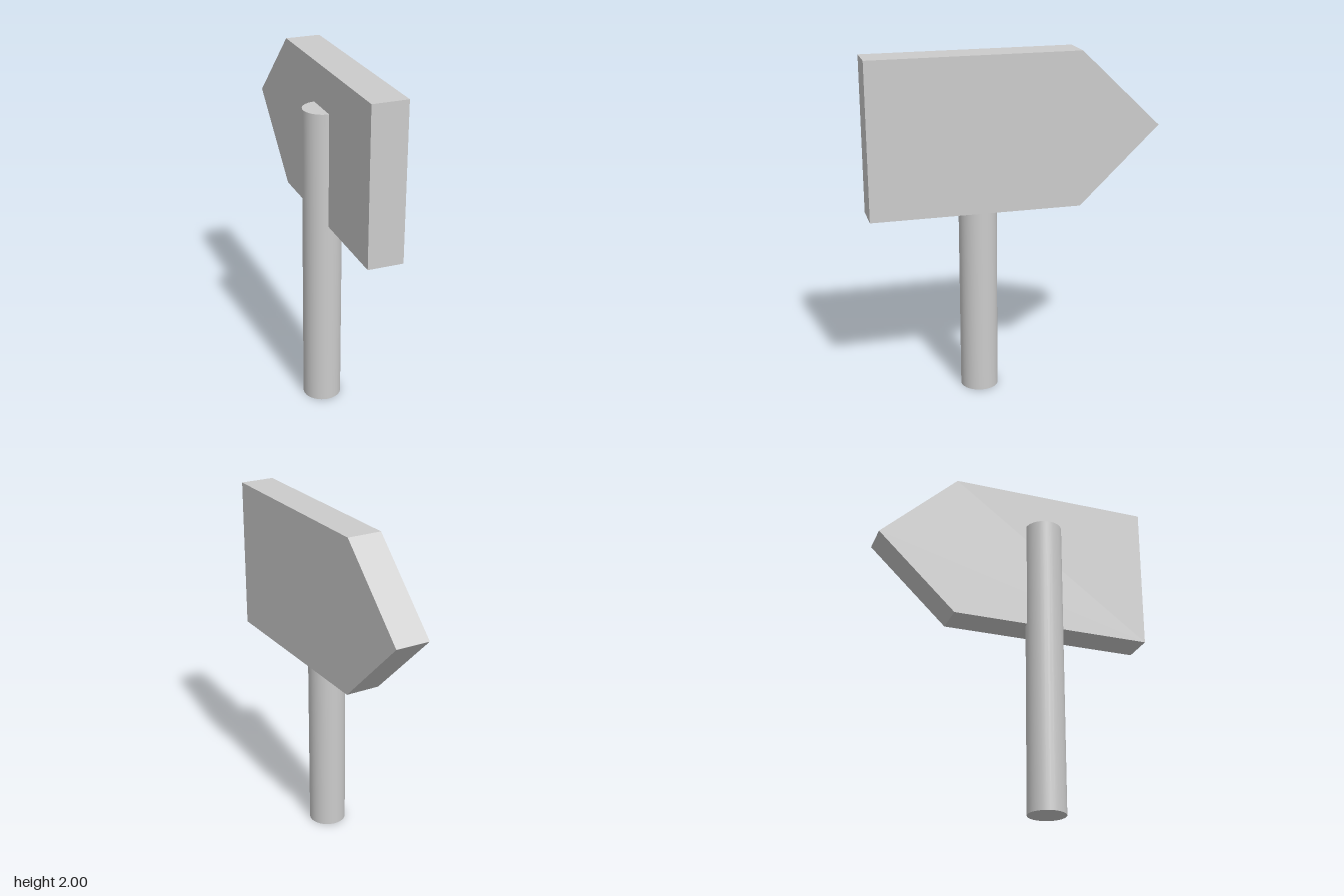
import * as THREE from 'three';

export function createModel() {
  const group = new THREE.Group();
  const material = new THREE.MeshStandardMaterial({ color: 0xcccccc });

  // Round post, partly sunk into the board
  const radius = 0.109, postHeight = 1.77;
  const post = new THREE.Mesh(
    new THREE.CylinderGeometry(radius, radius, postHeight, 32),
    material
  );
  post.name = 'post';
  post.position.set(-0.043, postHeight / 2, 0.183);
  group.add(post);

  // Arrow-shaped board pointing to the back
  const outline = new THREE.Shape([
    [-0.825, 1.123], [0.363, 1.123], [0.82, 1.562], [0.363, 2], [-0.825, 2],
  ].map(([x, y]) => new THREE.Vector2(x, y)));
  const boardGeometry = new THREE.ExtrudeGeometry(outline, { depth: 0.198, bevelEnabled: false });
  boardGeometry.rotateY(Math.PI / 2);
  const board = new THREE.Mesh(boardGeometry, material);
  board.name = 'arrowBoard';
  board.position.x = -0.048;
  group.add(board);

  return group;
}
